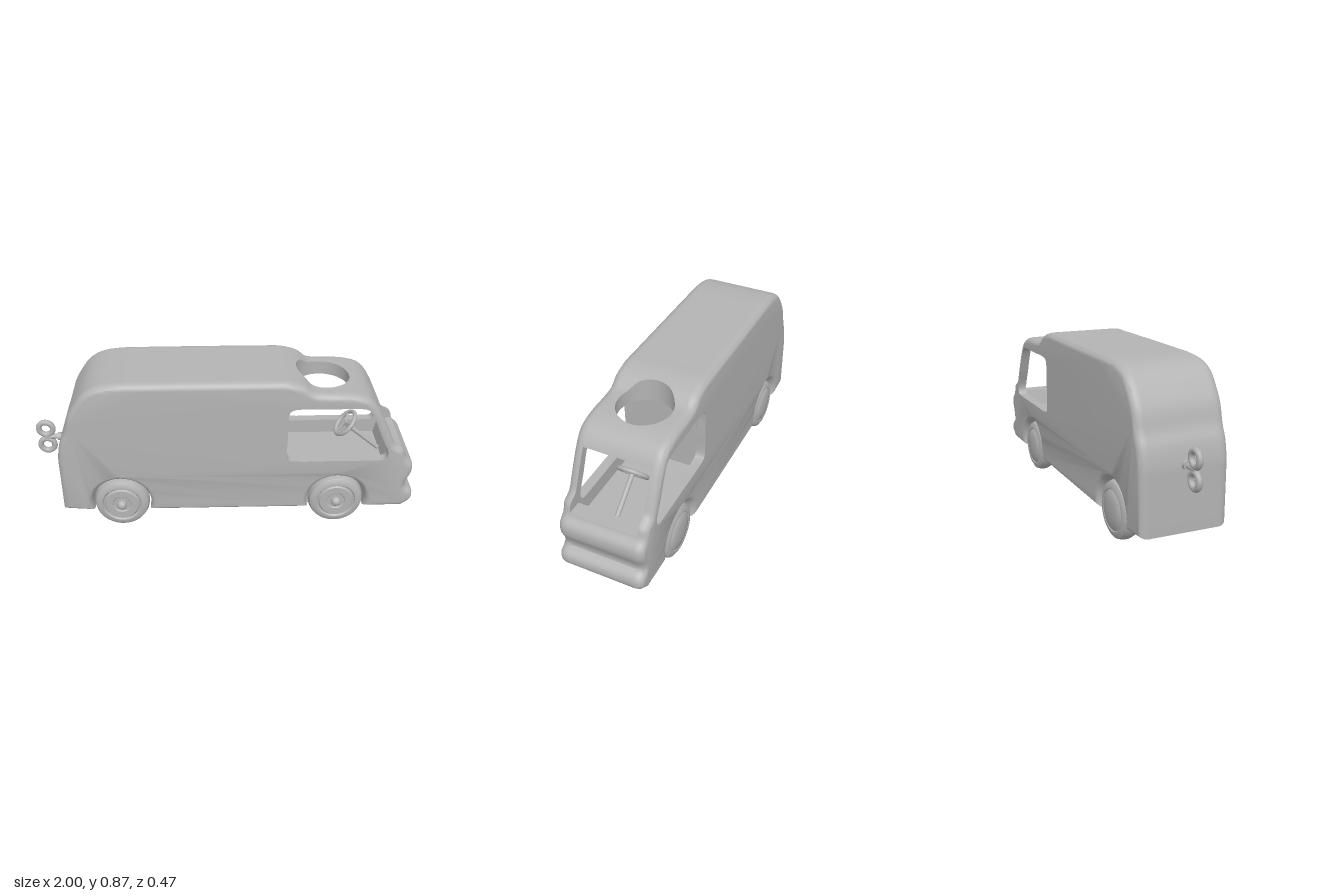
import * as THREE from 'three';
import { toCreasedNormals } from 'three/addons/utils/BufferGeometryUtils.js';
import { ParametricGeometry } from 'three/addons/geometries/ParametricGeometry.js';

const grey = new THREE.MeshStandardMaterial({ color: 0xb3b3b3 });
grey.name = 'grey plastic';
const CORE = 0.175, OUTER = 0.224, INSET = 0.032; // half widths and edge rounding

const v2 = ([x, y]) => new THREE.Vector2(x, y);
const spline = (pts, closed, per) => new THREE.CatmullRomCurve3(
  pts.map(([x, y]) => new THREE.Vector3(x, y, 0)), closed, 'centripetal')
  .getPoints((pts.length - (closed ? 0 : 1)) * per).map(p => new THREE.Vector2(p.x, p.y));

// Side profile: tail, roof, nose, then back along the underside through the wheel arches
const upper = spline([[-.862, .40], [-.86, .44], [-.842, .53], [-.815, .59], [-.79, .68], [-.75, .75],
  [-.70, .813], [-.634, .85], [-.53, .866], [-.40, .868], [.20, .868], [.30, .866], [.39, .84], [.436, .805],
  [.50, .797], [.62, .793], [.714, .768], [.767, .711], [.848, .545], [.874, .492], [.92, .465], [.94, .41],
  [.976, .374], [.98, .315], [.96, .267], [.956, .23], [.994, .198], [.997, .145], [.944, .10]], false, 3);
const arch = cx => Array.from({ length: 21 }, (_, i) => {
  const a = -0.295 + i / 20 * (Math.PI + 0.59);
  return new THREE.Vector2(cx + 0.155 * Math.cos(a), 0.145 + 0.155 * Math.sin(a));
});
const lower = [...arch(.59), ...arch(-.55), v2([-.862, .115])];
const outline = [...upper, ...lower];
const windowEdge = spline([[.315, .45], [.315, .56], [.315, .68], [.325, .71], [.355, .722], [.52, .722],
  [.67, .722], [.712, .713], [.738, .68], [.795, .55], [.838, .45], [.825, .415], [.78, .41], [.55, .41],
  [.36, .41], [.325, .42]], true, 3).slice(0, -1);

// Roof height at x
function roofY(x) {
  for (let i = 1; i < upper.length; i++) {
    const a = upper[i - 1], b = upper[i];
    if (a.y > .6 && x >= a.x && x <= b.x) return a.y + (b.y - a.y) * (x - a.x) / (b.x - a.x);
  }
  return 0.7;
}

// Moves a clockwise loop inwards
function inset(loop, d) {
  const n = loop.length;
  return loop.map((p, i) => {
    const a = p.clone().sub(loop[(i + n - 1) % n]).normalize();
    const b = loop[(i + 1) % n].clone().sub(p).normalize();
    const k = d / Math.max(0.6, 1 + a.dot(b));
    return new THREE.Vector2(p.x + (a.y + b.y) * k, p.y - (a.x + b.x) * k);
  });
}

// Side wall with rounded outer edge and a window opening; s is the side of the body
function sideWall(s) {
  const pos = [];
  const tri = (a, b, c) => pos.push(...a, ...(s > 0 ? b : c), ...(s > 0 ? c : b));
  const at = (p, z) => [p.x, p.y, z * s];
  const band = (l0, z0, l1, z1, hole) => l0.forEach((p, i) => {
    const j = (i + 1) % l0.length;
    const a = at(p, z0), b = at(l0[j], z0), c = at(l1[j], z1), d = at(l1[i], z1);
    if (hole) { tri(a, b, c); tri(a, c, d); } else { tri(a, d, c); tri(a, c, b); }
  });
  const cap = (loop, z, facing) => {
    const pts = [...loop, ...windowEdge];
    THREE.ShapeUtils.triangulateShape(loop.slice(), [windowEdge.slice()]).forEach(([i, j, k]) => {
      const up = pts[j].clone().sub(pts[i]).cross(pts[k].clone().sub(pts[i])) > 0;
      const f = [pts[i], pts[j], pts[k]].map(p => at(p, z));
      if (up === facing > 0) tri(f[0], f[1], f[2]); else tri(f[0], f[2], f[1]);
    });
  };
  let prev = outline, pz = CORE;
  for (let i = 0; i <= 6; i++) {
    const a = i / 6 * Math.PI / 2;
    const loop = inset(outline, INSET * (1 - Math.cos(a)));
    const z = OUTER - 0.045 * (1 - Math.sin(a));
    band(prev, pz, loop, z, false);
    prev = loop; pz = z;
  }
  band(windowEdge, CORE, windowEdge, OUTER, true);
  cap(prev, OUTER, 1);
  cap(outline, CORE, -1);
  const g = new THREE.BufferGeometry();
  g.setAttribute('position', new THREE.Float32BufferAttribute(pos, 3));
  return toCreasedNormals(g, 0.7);
}

const slab = (pts, half) => toCreasedNormals(new THREE.ExtrudeGeometry(new THREE.Shape(pts),
  { depth: half * 2, bevelEnabled: false }).translate(0, 0, -half), 0.6);

// Cab roof with a round hatch: underside, hatch rim and top as one skin
function hatchRoof() {
  const cx = .502, x0 = .31, x1 = .665;
  const g = new ParametricGeometry((u, v, out) => {
    const q = (u * 4) % 4, t = (q % 1) * 2 - 1;
    const [sx, sz] = [[t, -1], [1, t], [-t, 1], [-1, -t]][Math.floor(q)];
    const ox = sx < 0 ? cx + sx * (cx - x0) : cx + sx * (x1 - cx), oz = sz * (CORE + 0.005);
    const l = Math.hypot(ox - cx, oz);
    const ix = cx + (ox - cx) / l * 0.138, iz = oz / l * 0.138;
    const step = Math.round(v * 9), top = step > 4;
    const k = top ? (step - 5) / 4 : (4 - step) / 4;
    const x = ix + (ox - ix) * k, z = iz + (oz - iz) * k;
    out.set(x, top ? roofY(x) : .725, z);
  }, 64, 9);
  return toCreasedNormals(g, 0.7);
}

export function createModel() {
  const model = new THREE.Group();
  model.name = 'toyVan';
  const add = (parent, name, geo, x = 0, y = 0, z = 0) => {
    const m = new THREE.Mesh(geo, grey);
    m.name = name;
    m.position.set(x, y, z);
    parent.add(m);
    return m;
  };

  // Body
  const body = new THREE.Group();
  body.name = 'body';
  body.position.z = -0.01;
  model.add(body);
  add(body, 'leftSideWall', sideWall(1));
  add(body, 'rightSideWall', sideWall(-1));
  add(body, 'cargoBoxAndFloor', slab([...upper.filter(p => p.x < .315 && p.x < .4 && p.y > .2),
    v2([.315, roofY(.315)]), v2([.315, .33]), v2([.84, .33]), v2([.86, .42]), v2([.936, .42]),
    ...upper.filter(p => p.x > .9 && p.y < .418), ...lower], CORE));
  add(body, 'windscreenHeader', slab([v2([.655, .725]), v2([.655, roofY(.655)]),
    ...upper.filter(p => p.x > .657 && p.y > .70), v2([.775, .695]), v2([.735, .695]), v2([.71, .725])], CORE));
  add(body, 'hatchRoof', hatchRoof());
  add(body, 'underFlap', slab([[.38, .11], [.443, .11], [.47, .065], [.46, .06]].map(v2), .125));

  // Wheels and axles
  const tyre = [[0, -.05], [.06, -.05], [.115, -.047], [.135, -.036], [.145, -.012], [.145, .012], [.137, .034],
    [.12, .045], [.104, .046], [.098, .038], [.092, .038], [.086, .046], [.05, .046], [.045, .041], [0, .041]];
  const plain = [[0, -.05], [.12, -.05], [.137, -.034], [.145, -.012], [.145, .012], [.137, .034],
    [.12, .044], [.104, .045], [.100, .041], [.094, .046], [.05, .053], [0, .055]];
  const lathe = p => toCreasedNormals(new THREE.LatheGeometry(p.map(v2), 40).rotateX(Math.PI / 2), 0.6);
  for (const [name, x] of [['rear', -.55], ['front', .59]]) {
    add(model, name + 'LeftWheel', lathe(tyre), x, .145, .163);
    add(model, name + 'LeftHub', new THREE.SphereGeometry(.026, 20, 14), x, .145, .21);
    add(model, name + 'RightWheel', lathe(plain), x, .145, -.182).rotation.y = Math.PI;
    add(model, name + 'Axle', new THREE.CylinderGeometry(.018, .018, .32, 16).rotateX(Math.PI / 2), x, .145, -.01);
  }

  // Steering wheel, tilted towards the driver
  const steering = new THREE.Group();
  steering.name = 'steeringWheel';
  steering.position.set(.645, .5, -.01);
  steering.rotation.z = -0.7;
  model.add(steering);
  add(steering, 'steeringRim', new THREE.TorusGeometry(.072, .011, 12, 40).rotateY(Math.PI / 2));
  for (let i = 0; i < 3; i++) {
    const spoke = add(steering, 'steeringSpoke', new THREE.CylinderGeometry(.007, .007, .072, 10).translate(0, .036, 0));
    spoke.rotation.x = Math.PI / 3 + i * Math.PI * 2 / 3;
  }
  add(steering, 'steeringColumn', new THREE.CylinderGeometry(.012, .012, .25, 14).rotateZ(Math.PI / 2), .12, 0, 0);

  // Wind-up key at the tail
  const key = new THREE.Group();
  key.name = 'windUpKey';
  key.position.set(-.947, .44, -.013);
  model.add(key);
  for (const y of [-.05, .05]) add(key, 'keyLoop', new THREE.TorusGeometry(.037, .015, 12, 32), 0, y, 0);
  add(key, 'keyShaft', new THREE.CylinderGeometry(.014, .014, .12, 14).rotateZ(Math.PI / 2), .05, 0, 0);
  add(key, 'keyCollar', new THREE.CylinderGeometry(.022, .022, .02, 16).rotateZ(Math.PI / 2), .07, 0, 0);
  return model;
}
